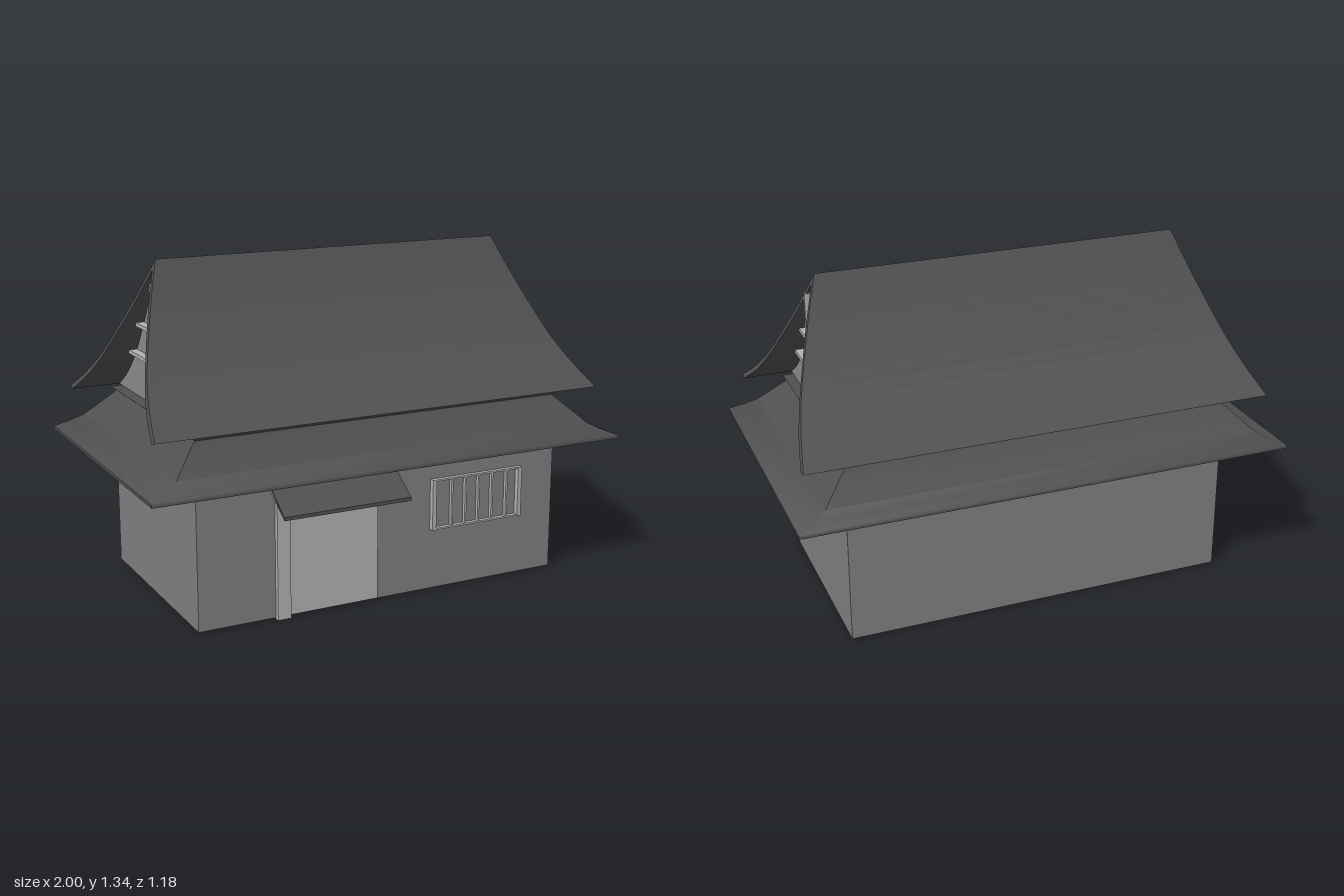
import * as THREE from 'three';
import { toCreasedNormals } from 'three/addons/utils/BufferGeometryUtils.js';

const mat = (name, color) => {
  const m = new THREE.MeshStandardMaterial({ color });
  m.name = name;
  return m;
};

export function createModel() {
  const house = new THREE.Group();
  house.name = 'house';
  const roofMat = mat('dark roof', 0x505050);
  const wallMat = mat('wall grey', 0x808080);
  const gableMat = mat('gable grey', 0x8c8c8c);
  const woodMat = mat('pale wood', 0xb4b4b4);

  const add = (name, geometry, material) => {
    const mesh = new THREE.Mesh(geometry, material);
    mesh.name = name;
    house.add(mesh);
    return mesh;
  };
  // box given by its two extremes on each axis
  const box = (name, x0, x1, y0, y1, z0, z1, material) => {
    const g = new THREE.BoxGeometry(x1 - x0, y1 - y0, z1 - z0);
    g.translate((x0 + x1) / 2, (y0 + y1) / 2, (z0 + z1) / 2);
    return add(name, g, material);
  };
  // extrude a (z, y) outline along x, with the half length depending on height
  const prism = (points, halfLength) => {
    const g = new THREE.ExtrudeGeometry(
      new THREE.Shape(points.map(([z, y]) => new THREE.Vector2(z, y))),
      { depth: 1, bevelEnabled: false });
    g.translate(0, 0, -0.5).rotateY(-Math.PI / 2);
    const p = g.attributes.position;
    for (let i = 0; i < p.count; i++) p.setX(i, Math.sign(p.getX(i)) * halfLength(p.getY(i)));
    return toCreasedNormals(g, 0.4);
  };
  // stack of rectangles [half x, half z, y], closed at both ends
  const stack = (levels) => {
    const pos = [];
    const corner = ([x, z, y], k) => [[x, y, z], [x, y, -z], [-x, y, -z], [-x, y, z]][k % 4];
    const quad = (a, b, c, d) => pos.push(...a, ...b, ...c, ...a, ...c, ...d);
    for (let i = 0; i < levels.length - 1; i++)
      for (let k = 0; k < 4; k++)
        quad(corner(levels[i], k), corner(levels[i], k + 1), corner(levels[i + 1], k + 1), corner(levels[i + 1], k));
    const low = levels[0], top = levels[levels.length - 1];
    quad(...[3, 2, 1, 0].map((k) => corner(low, k)));
    quad(...[0, 1, 2, 3].map((k) => corner(top, k)));
    const g = new THREE.BufferGeometry();
    g.setAttribute('position', new THREE.Float32BufferAttribute(pos, 3));
    return toCreasedNormals(g, 0.9);
  };
  const smooth = (points) => new THREE.CatmullRomCurve3(points.map(([z, y]) => new THREE.Vector3(z, y, 0)))
    .getPoints(15).map((v) => [v.x, v.y]);
  const mirrored = (half) => [...half.slice(1).reverse().map(([z, y]) => [-z, y]), ...half];

  // walls
  box('walls', -0.78, 0.785, 0.005, 0.57, -0.44, 0.44, wallMat);

  // flared skirt roof with the stepped trim above it
  add('skirtRoof', stack([
    [1, 0.59, 0.565], [1, 0.59, 0.578], [0.94, 0.56, 0.602], [0.885, 0.53, 0.63],
    [0.835, 0.485, 0.68], [0.785, 0.44, 0.73], [0.775, 0.435, 0.74], [0.79, 0.45, 0.752], [0.78, 0.44, 0.757],
  ]), roofMat);

  // curved main roof shell, longer at the eaves than at the ridge
  const outer = smooth([[0, 1.335], [0.08, 1.19], [0.16, 1.07], [0.26, 0.94], [0.37, 0.845], [0.495, 0.765]]);
  const inner = smooth([[0, 1.295], [0.07, 1.17], [0.145, 1.06], [0.245, 0.93], [0.352, 0.83], [0.465, 0.758]]);
  add('mainRoof', prism([...mirrored(outer), ...mirrored(inner).reverse()],
    (y) => 0.745 + 0.355 * Math.max(0, 1.335 - y)), roofMat);

  // gable walls filling the ends under the roof
  add('gableWalls', prism(mirrored(inner), () => 0.75), gableMat);

  // timber on both gables
  for (const s of [-1, 1]) {
    const beam = (name, y, h, z, d) => {
      const g = new THREE.BoxGeometry(0.035, h, d);
      g.translate(s * 0.765, y, z);
      add(name, g, woodMat);
    };
    beam('gableLowerBeam', 0.94, 0.015, 0, 0.5);
    beam('gableUpperBeam', 1.065, 0.015, 0, 0.3);
    beam('gablePost', 1.095, 0.31, 0.03, 0.014);
  }

  // door and its post
  box('door', -0.41, -0.03, 0.008, 0.5, 0.43, 0.446, woodMat);
  box('doorPost', -0.465, -0.41, 0, 0.5, 0.43, 0.46, woodMat);

  // bent awning over the door
  const awning = prism([[0.595, 0.443], [0.595, 0.457], [0.475, 0.538], [0.44, 0.572], [0.43, 0.56], [0.465, 0.525]],
    (y) => (y > 0.55 ? 0.248 : 0.265));
  awning.translate(-0.233, 0, 0);
  add('awning', awning, roofMat);

  // barred window
  box('windowFrameLeft', 0.207, 0.224, 0.253, 0.46, 0.43, 0.462, woodMat);
  box('windowFrameRight', 0.606, 0.623, 0.253, 0.46, 0.43, 0.462, woodMat);
  box('windowFrameTop', 0.224, 0.606, 0.453, 0.46, 0.43, 0.458, woodMat);
  box('windowFrameBottom', 0.224, 0.606, 0.253, 0.26, 0.43, 0.458, woodMat);
  for (const x of [0.3, 0.363, 0.424, 0.487, 0.556])
    box('windowBar', x - 0.004, x + 0.004, 0.26, 0.453, 0.43, 0.455, woodMat);

  return house;
}
